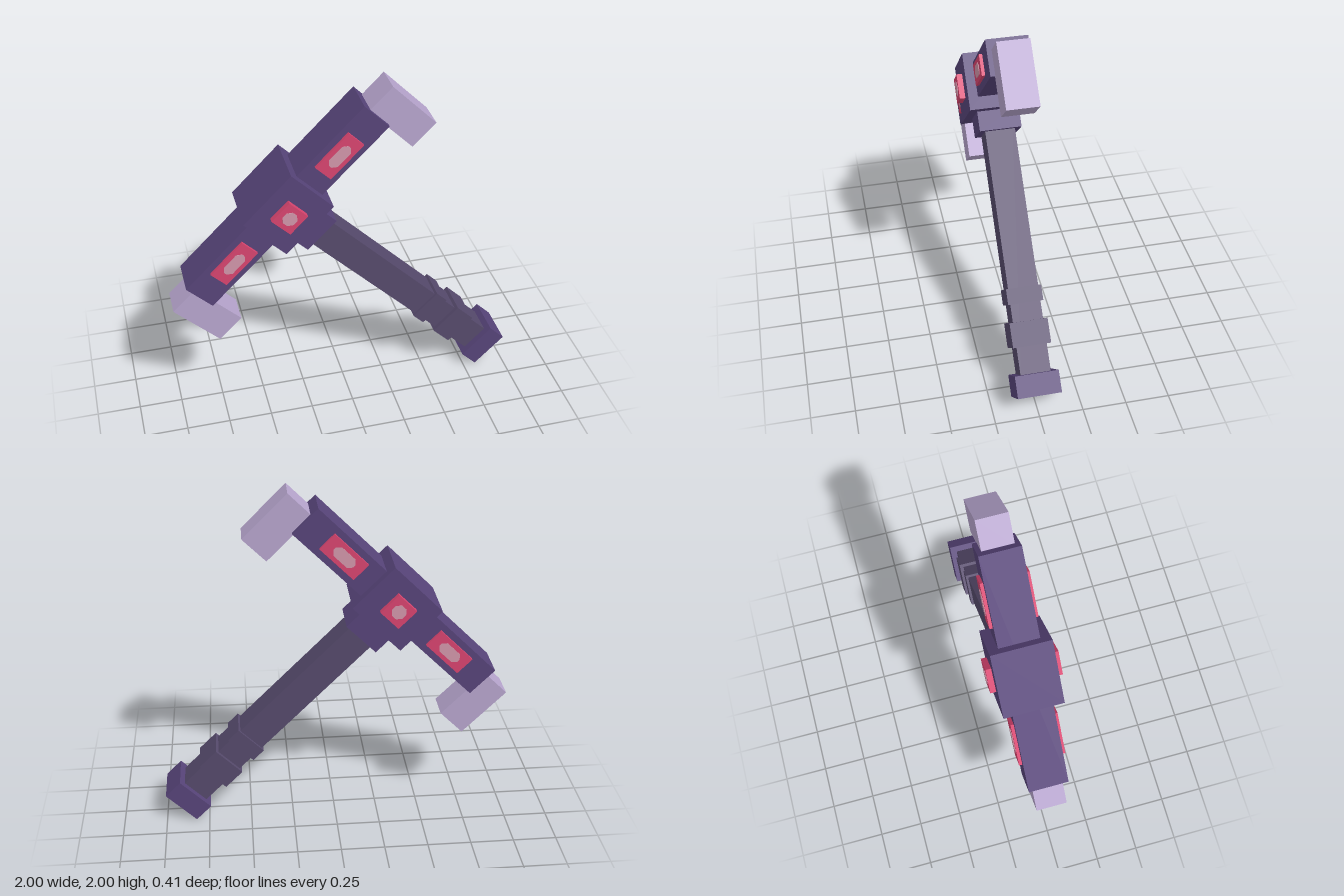
import * as THREE from 'three';

export function createModel() {
  const mat = (name, color) => {
    const m = new THREE.MeshStandardMaterial({ color });
    m.name = name;
    return m;
  };
  const purple = mat('deep purple', 0x574479);
  const grip = mat('dusky grip', 0x564a6c);
  const lilac = mat('pale lilac', 0xb7a5ce);
  const pink = mat('gem pink', 0xd8446f);
  const blush = mat('gem highlight', 0xd296aa);

  // Built upright around the handle axis, then tilted 45 degrees
  const hammer = new THREE.Group();
  hammer.name = 'hammer';
  const add = (name, geometry, material, x, y) => {
    const mesh = new THREE.Mesh(geometry, material);
    mesh.name = name;
    mesh.position.set(x, y, 0);
    hammer.add(mesh);
  };
  // Box centred at x, spanning y0..y1, with half width and half depth
  const block = (name, material, x, y0, y1, halfW, halfD) =>
    add(name, new THREE.BoxGeometry(halfW * 2, y1 - y0, halfD * 2), material, x, (y0 + y1) / 2);

  // Chamfered highlight running just proud of both gem faces
  const highlight = (x, y, w, h, halfD) => {
    const c = 0.024;
    const shape = new THREE.Shape([
      [w, h - c], [w - c, h], [c - w, h], [-w, h - c],
      [-w, c - h], [c - w, -h], [w - c, -h], [w, c - h],
    ].map(([px, py]) => new THREE.Vector2(px, py)));
    const geometry = new THREE.ExtrudeGeometry(shape, { depth: halfD * 2, bevelEnabled: false });
    geometry.translate(0, 0, -halfD);
    add('gemHighlight', geometry, blush, x, y);
  };

  // Handle with rings and pommel
  block('handle', grip, 0, -0.5, 1.03, 0.085, 0.086);
  block('upperRing', grip, 0, -0.07, 0.018, 0.1, 0.1);
  block('lowerRing', grip, 0, -0.308, -0.17, 0.104, 0.108);
  block('pommel', purple, 0, -0.583, -0.46, 0.122, 0.124);

  // Head
  block('collar', purple, 0, 0.912, 1.04, 0.117, 0.12);
  block('headBar', purple, 0, 1.096, 1.294, 0.714, 0.114);
  block('headCore', purple, 0, 1.025, 1.351, 0.19, 0.168);
  block('coreGem', pink, 0, 1.118, 1.26, 0.071, 0.2);
  highlight(0, 1.189, 0.04, 0.04, 0.203);

  // Mirrored end blocks and side gems
  for (const s of [-1, 1]) {
    block('endBlock', lilac, s * 0.792, 0.884, 1.237, 0.092, 0.088);
    block('sideGem', pink, s * 0.423, 1.138, 1.256, 0.13, 0.132);
    highlight(s * 0.423, 1.197, 0.075, 0.033, 0.135);
  }

  hammer.rotation.z = Math.PI / 4;
  hammer.position.set(0.5, 0.5, 0);

  const model = new THREE.Group();
  model.name = 'tiltedHammer';
  model.add(hammer);
  return model;
}
